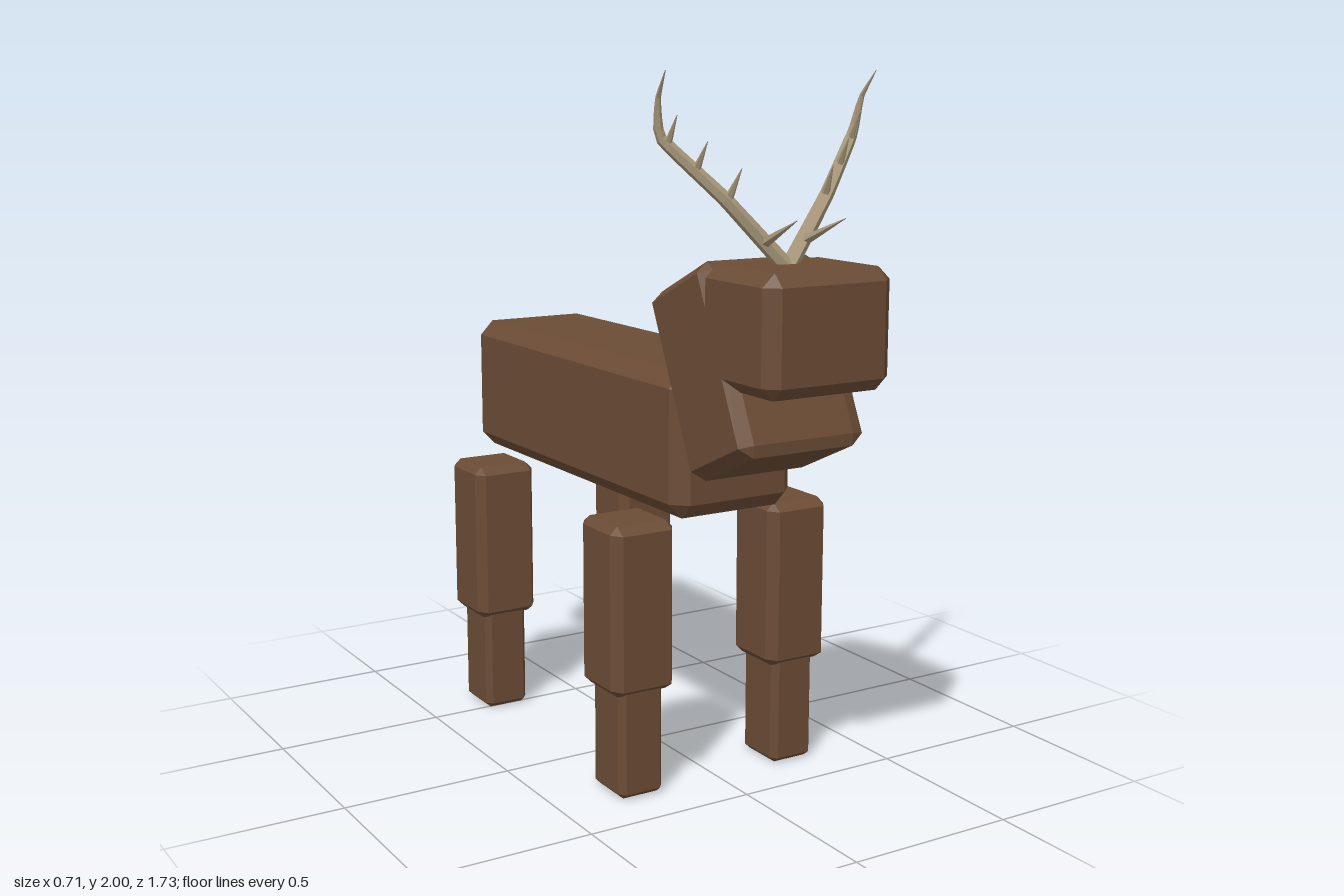
import * as THREE from 'three';
import { ConvexGeometry } from 'three/addons/geometries/ConvexGeometry.js';

const V = (x, y, z) => new THREE.Vector3(x, y, z);

// Box with flat bevels; c is the bevel inset on each axis
function bevelBox(size, c) {
  const h = size.map((s) => s / 2);
  const points = [];
  for (const sx of [-1, 1]) for (const sy of [-1, 1]) for (const sz of [-1, 1]) {
    for (let flat = 0; flat < 3; flat++) {
      const p = h.map((v, i) => (i === flat ? v : v - c[i]));
      points.push(V(p[0] * sx, p[1] * sy, p[2] * sz));
    }
  }
  return new ConvexGeometry(points);
}

// Tapered prism between two points
function taper(a, b, ra, rb, sides) {
  const dir = b.clone().sub(a);
  const g = new THREE.CylinderGeometry(rb, ra, dir.length(), sides);
  g.applyQuaternion(new THREE.Quaternion().setFromUnitVectors(V(0, 1, 0), dir.normalize()));
  const mid = a.clone().add(b).multiplyScalar(0.5);
  return g.translate(mid.x, mid.y, mid.z);
}

// Tube along a path whose radius follows radiusAt(t)
function taperedTube(path, radiusAt, rings, sides) {
  const curve = new THREE.CatmullRomCurve3(path, false, 'catmullrom', 0.15);
  const g = new THREE.TubeGeometry(curve, rings, 1, sides, false);
  const pos = g.attributes.position;
  const v = V(0, 0, 0);
  for (let i = 0; i <= rings; i++) {
    const centre = curve.getPointAt(i / rings);
    for (let j = 0; j <= sides; j++) {
      const k = i * (sides + 1) + j;
      v.fromBufferAttribute(pos, k).sub(centre).multiplyScalar(radiusAt(i / rings)).add(centre);
      pos.setXYZ(k, v.x, v.y, v.z);
    }
  }
  const flat = g.toNonIndexed();
  flat.computeVertexNormals();
  return flat;
}

export function createModel() {
  const model = new THREE.Group();
  model.name = 'deer';
  const hide = new THREE.MeshStandardMaterial({ color: 0x6b4c35, flatShading: true });
  hide.name = 'brown hide';
  const horn = new THREE.MeshStandardMaterial({ color: 0xa8977a, flatShading: true });
  horn.name = 'pale horn';

  const add = (parent, name, geometry, material, x = 0, y = 0, z = 0) => {
    const mesh = new THREE.Mesh(geometry, material);
    mesh.name = name;
    mesh.position.set(x, y, z);
    parent.add(mesh);
    return mesh;
  };

  // Trunk, neck and head
  add(model, 'body', bevelBox([0.394, 0.406, 1.24], [0.042, 0.044, 0.044]), hide, 0, 1.004, -0.178);
  const neck = add(model, 'neck', bevelBox([0.394, 0.53, 0.276], [0.04, 0.03, 0.016]), hide, 0, 1.223, 0.521);
  neck.rotation.x = -0.431;
  add(model, 'head', bevelBox([0.394, 0.318, 0.322], [0.037, 0.034, 0.034]), hide, 0, 1.354, 0.701);

  // Short stubby tail
  add(model, 'tail', taper(V(0, 1.088, -0.765), V(0, 1.021, -0.854), 0.037, 0.017, 6), hide);

  // Legs: wide upper block over a slimmer lower block
  const upper = bevelBox([0.197, 0.485, 0.217], [0.022, 0.022, 0.034]);
  const lower = bevelBox([0.14, 0.36, 0.168], [0.016, 0.016, 0.02]);
  for (const [side, sx] of [['left', 1], ['right', -1]]) {
    for (const [end, z] of [['Front', 0.28], ['Rear', -0.561]]) {
      const leg = new THREE.Group();
      leg.name = side + end + 'Leg';
      leg.position.set(sx * 0.257, 0, z);
      add(leg, 'upperLeg', upper, hide, 0, 0.55, 0);
      add(leg, 'lowerLeg', lower, hide, 0, 0.183, 0);
      model.add(leg);
    }
  }

  // Antlers: one bent beam with four tines, mirrored
  const beam = taperedTube(
    [V(0, 1.5, 0.66), V(0.16, 1.68, 0.605), V(0.302, 1.833, 0.525), V(0.318, 1.93, 0.54), V(0.327, 2.0, 0.59)],
    (t) => 0.0225 - 0.009 * t - 0.0125 * Math.max(0, (t - 0.68) / 0.32), 24, 6);
  const tines = [
    [V(0.062, 1.565, 0.64), V(0.075, 1.635, 0.8), 0.015],
    [V(0.152, 1.675, 0.607), V(0.142, 1.758, 0.655), 0.013],
    [V(0.225, 1.75, 0.57), V(0.22, 1.825, 0.617), 0.012],
    [V(0.287, 1.815, 0.535), V(0.285, 1.89, 0.577), 0.011],
  ];
  for (const [side, sx] of [['left', 1], ['right', -1]]) {
    const antler = new THREE.Group();
    antler.name = side + 'Antler';
    antler.scale.x = sx;
    add(antler, 'beam', beam, horn);
    for (const [a, b, r] of tines) add(antler, 'tine', taper(a, b, r, 0.001, 5), horn);
    model.add(antler);
  }

  return model;
}
